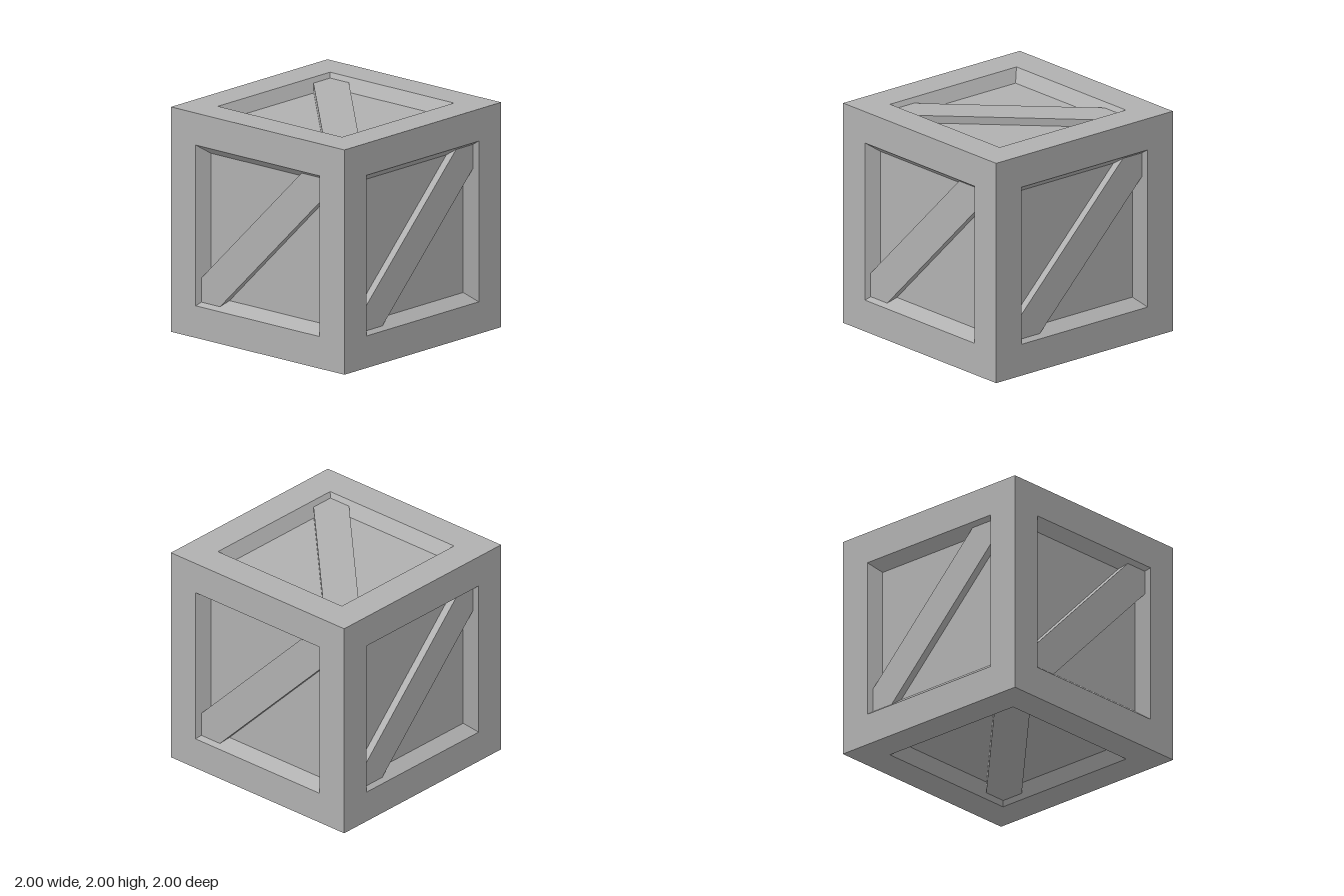
import * as THREE from 'three';

const OPEN = 0.715;   // half width of the frame opening
const INNER = 0.635;  // half width of the recessed panel
const DEPTH = 0.107;  // panel depth below the frame
const SINK = 0.04;    // brace depth below the frame

// Square band between two concentric squares of half width a (outer) and b (inner)
function squareBand(a, za, b, zb) {
  const corners = [[-1, -1], [1, -1], [1, 1], [-1, 1]];
  const pos = [];
  corners.forEach(([x, y], i) => {
    const [u, v] = corners[(i + 1) % 4];
    const p = [x * a, y * a, za], q = [u * a, v * a, za];
    const r = [u * b, v * b, zb], s = [x * b, y * b, zb];
    pos.push(...p, ...q, ...r, ...p, ...r, ...s);
  });
  const geo = new THREE.BufferGeometry();
  geo.setAttribute('position', new THREE.Float32BufferAttribute(pos, 3));
  geo.computeVertexNormals();
  return geo;
}

// Diagonal plank with clipped ends
function braceGeometry() {
  const e = 0.685, c = 0.47;
  const shape = new THREE.Shape(
    [[-e, -e], [-c, -e], [e, c], [e, e], [c, e], [-e, -c]].map(([x, y]) => new THREE.Vector2(x, y))
  );
  return new THREE.ExtrudeGeometry(shape, { depth: DEPTH - SINK, bevelEnabled: false })
    .translate(0, 0, 1 - DEPTH);
}

export function createModel() {
  const grey = new THREE.MeshStandardMaterial({ color: 0xb0b0b0 });
  grey.name = 'crate grey';

  const parts = {
    frame: squareBand(1, 1, OPEN, 1),
    recessWall: squareBand(OPEN, 1, INNER, 1 - DEPTH),
    panel: new THREE.PlaneGeometry(2 * INNER, 2 * INNER).translate(0, 0, 1 - DEPTH),
    brace: braceGeometry(),
  };

  // Side name, tilt about x, turn about y, spin about the face normal
  const q = Math.PI / 2;
  const sides = [
    ['front', 0, 0, 0],
    ['left', 0, q, 0],
    ['back', 0, 2 * q, 0],
    ['right', 0, -q, 0],
    ['top', -q, 0, q],
    ['bottom', q, 0, q],
  ];

  const crate = new THREE.Group();
  crate.name = 'crate';
  for (const [name, tilt, turn, spin] of sides) {
    const side = new THREE.Group();
    side.name = name + 'Side';
    side.rotation.set(tilt, turn, spin);
    side.position.y = 1;
    for (const [part, geo] of Object.entries(parts)) {
      const mesh = new THREE.Mesh(geo, grey);
      mesh.name = part;
      side.add(mesh);
    }
    crate.add(side);
  }
  return crate;
}
